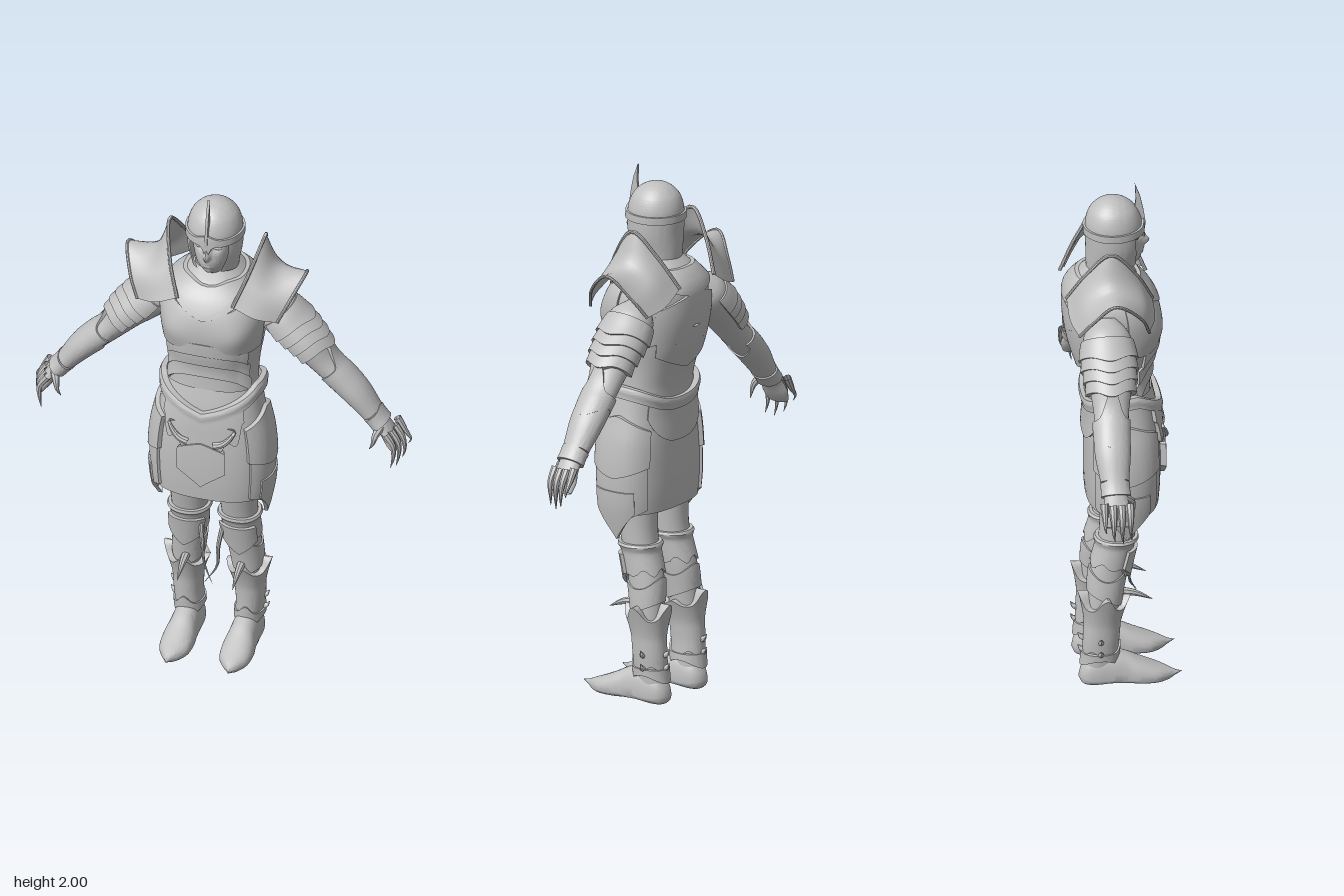
import * as THREE from 'three';
import { toCreasedNormals } from 'three/addons/utils/BufferGeometryUtils.js';

const V = (x, y, z) => new THREE.Vector3(x, y, z);
const bump = (x, w) => Math.exp(-((x / w) ** 2));
const val = (f, ...a) => (typeof f === 'function' ? f(...a) : f);
const PI = Math.PI;

// Body of oval sections [y, centreX, centreZ, halfWidth, frontDepth, backDepth]; angle 0 is front, PI/2 is +x
function body(sections, power = 0.9) {
  const s = [...sections].sort((p, q) => p[0] - q[0]);
  const slope = (i, k) => {
    const a = s[Math.max(i - 1, 0)], b = s[Math.min(i + 1, s.length - 1)];
    return (b[k] - a[k]) / (b[0] - a[0]);
  };
  return (a, y, off = 0) => {
    let i = 0;
    while (i < s.length - 2 && y > s[i + 1][0]) i++;
    const h = s[i + 1][0] - s[i][0], t = Math.min(1, Math.max(0, (y - s[i][0]) / h)), t2 = t * t, t3 = t2 * t;
    const [cx, cz, rx, rf, rb] = [1, 2, 3, 4, 5].map(k => (2 * t3 - 3 * t2 + 1) * s[i][k] + (t3 - 2 * t2 + t) * h * slope(i, k)
      + (3 * t2 - 2 * t3) * s[i + 1][k] + (t3 - t2) * h * slope(i + 1, k));
    const sn = Math.sin(a), cs = Math.cos(a);
    const e = v => Math.sign(v) * Math.abs(v) ** power;
    return V(cx + (Math.max(rx, 0) + off) * e(sn), y, cz + (Math.max(cs > 0 ? rf : rb, 0) + off) * e(cs));
  };
}

function grid(nu, nv, at) {
  const pos = [], idx = [];
  for (let j = 0; j <= nv; j++) for (let i = 0; i <= nu; i++) pos.push(...at(i, j).toArray());
  for (let j = 0; j < nv; j++) for (let i = 0; i < nu; i++) {
    const a = j * (nu + 1) + i, b = a + 1, c = a + nu + 1, d = c + 1;
    idx.push(a, b, d, a, d, c);
  }
  const g = new THREE.BufferGeometry();
  g.setAttribute('position', new THREE.Float32BufferAttribute(pos, 3));
  g.setIndex(idx);
  return g;
}

// Plate lying on a body between two heights, with rims turned in to the body
function shell(P, bottom, top, { a0 = -PI, a1 = PI, off = 0, na = 48, nv = 12 } = {}) {
  return grid(na + 2, nv + 2, (i, j) => {
    const u = Math.min(Math.max(i - 1, 0), na) / na, t = Math.min(Math.max(j - 1, 0), nv) / nv;
    const a = a0 + (a1 - a0) * u, lo = val(bottom, a), hi = val(top, a), y = lo + (hi - lo) * t;
    const rim = j === 0 || j === nv + 2 || ((i === 0 || i === na + 2) && a1 - a0 < 6.2);
    const o = val(off, a, y);
    return P(a, y, rim ? Math.min(o, 0) : o);
  });
}

// Smooth sheet through rows of points
function patch(rows, nu = 24, nv = 12) {
  const curves = rows.map(r => new THREE.CatmullRomCurve3(r.map(p => V(...p))));
  return grid(nu, nv, (i, j) => new THREE.CatmullRomCurve3(curves.map(c => c.getPoint(i / nu))).getPoint(j / nv));
}

// Tapered tube
function spike(points, r, end = 0.05, n = 12) {
  const curve = new THREE.CatmullRomCurve3(points.map(p => V(...p)));
  const g = new THREE.TubeGeometry(curve, n, r, 8), p = g.attributes.position;
  for (let i = 0; i < p.count; i++) {
    const t = Math.floor(i / 9) / n, c = curve.getPointAt(t);
    const v = V(0, 0, 0).fromBufferAttribute(p, i).sub(c).multiplyScalar(1 - (1 - end) * t ** 1.6).add(c);
    p.setXYZ(i, v.x, v.y, v.z);
  }
  return g;
}

export function createModel() {
  const model = new THREE.Group();
  const steel = new THREE.MeshStandardMaterial({ color: 0xc0c0c0, side: THREE.DoubleSide });
  steel.name = 'plain steel';

  const add = (name, geo, mirrored = false) => {
    const g = geo.index ? geo.toNonIndexed() : geo.clone();
    if (mirrored) {
      const p = g.attributes.position;
      for (let i = 0; i < p.count; i += 3) {
        const [a, b, c] = [0, 1, 2].map(k => V(0, 0, 0).fromBufferAttribute(p, i + k));
        [a, c, b].forEach((v, k) => p.setXYZ(i + k, -v.x, v.y, v.z));
      }
    }
    const mesh = new THREE.Mesh(toCreasedNormals(g, 0.75), steel);
    mesh.name = name;
    model.add(mesh);
  };
  const pair = (name, geo) => { add(name + 'Left', geo); add(name + 'Right', geo, true); };

  // Torso
  const torso = body([[1.12, 0, -0.01, 0.17, 0.12, 0.12], [1.2, 0, -0.02, 0.162, 0.125, 0.115], [1.28, 0, -0.03, 0.165, 0.135, 0.125],
    [1.36, 0, -0.03, 0.178, 0.155, 0.15], [1.45, 0, -0.03, 0.19, 0.168, 0.168], [1.52, 0, -0.03, 0.192, 0.16, 0.172],
    [1.58, 0, -0.035, 0.175, 0.135, 0.162], [1.63, 0, -0.04, 0.125, 0.1, 0.13], [1.68, 0, -0.04, 0.075, 0.07, 0.08]], 0.85);
  add('torso', shell(torso, 1.12, 1.68, { nv: 30 }));
  add('breastplate', shell(torso, a => 1.405 - 0.035 * Math.sin(Math.min(Math.abs(a), 1.2) * 1.6), a => 1.53 + 0.06 * Math.min(1, Math.abs(a)),
    { a0: -1.4, a1: 1.4, off: (a, y) => 0.008 + 0.012 * bump(Math.abs(a) - 0.55, 0.35) * bump(y - 1.45, 0.06) }));
  add('gorget', shell(torso, a => 1.52 + 0.075 * Math.min(1, Math.abs(a) / 0.8) - 0.04 * bump(Math.abs(a) - PI, 0.6),
    a => 1.65 - 0.02 * bump(a, 0.4), { off: 0.014 }));
  [[1.365, 0.95], [1.315, 1.05], [1.26, 1.15]].forEach(([y, w], k) =>
    add('bellyPlate' + (k + 1), shell(torso, a => y - 0.06 * a * a, a => y + 0.055 - 0.06 * a * a,
      { a0: -w, a1: w, off: (a, v) => 0.004 + 0.008 * Math.abs(Math.cos(a * 2.2)) + (y + 0.055 - 0.06 * a * a - v) * 0.08, nv: 6, na: 30 })));
  [[1.44, 1.57, 1.2], [1.35, 1.43, 1.0], [1.27, 1.35, 0.9]].forEach(([lo, hi, w], k) => {
    const vee = a => (k ? 0.07 : -0.06) * Math.abs(a - PI);
    add('backPlate' + (k + 1), shell(torso, a => lo + vee(a), a => hi + vee(a), { a0: PI - w, a1: PI + w, off: 0.012, na: 30, nv: 6 }));
  });

  // Head with modelled face
  const head = body([[1.6, 0, -0.04, 0.07, 0.07, 0.08], [1.66, 0, -0.04, 0.058, 0.07, 0.07], [1.69, 0, -0.035, 0.052, 0.095, 0.08],
    [1.72, 0, -0.03, 0.066, 0.107, 0.085], [1.78, 0, -0.03, 0.08, 0.108, 0.09], [1.84, 0, -0.03, 0.085, 0.1, 0.09]], 1);
  add('face', shell(head, 1.6, 1.84, { na: 110, nv: 50, off: (a, y) =>
    0.024 * bump(a, 0.13) * bump(y - 1.765, 0.018) + 0.012 * bump(a, 0.11) * bump(y - 1.795, 0.025)
    - 0.014 * bump(Math.abs(a) - 0.38, 0.2) * bump(y - 1.797, 0.014) + 0.006 * bump(y - 1.823, 0.012) * bump(a, 0.8)
    + 0.007 * bump(a, 0.25) * (bump(y - 1.736, 0.006) + bump(y - 1.722, 0.006)) + 0.008 * bump(a, 0.25) * bump(y - 1.693, 0.014) }));
  const eye = new THREE.SphereGeometry(0.013, 12, 8).scale(1.2, 0.6, 0.7);
  pair('eye', eye.translate(0.034, 1.797, 0.055));

  // Helmet: dome, brow band, side guard and crest
  const helm = body([[1.64, 0, -0.04, 0.078, 0.09, 0.082], [1.7, 0, -0.035, 0.086, 0.1, 0.09], [1.76, 0, -0.03, 0.098, 0.108, 0.096],
    [1.82, 0, -0.03, 0.101, 0.11, 0.099], [1.86, 0, -0.03, 0.099, 0.106, 0.098], [1.9, 0, -0.03, 0.085, 0.09, 0.085],
    [1.925, 0, -0.03, 0.064, 0.068, 0.064], [1.94, 0, -0.03, 0.042, 0.044, 0.042], [1.948, 0, -0.03, 0.02, 0.02, 0.02], [1.951, 0, -0.03, 0, 0, 0]], 1);
  add('helmetDome', shell(helm, 1.82, 1.951, { nv: 40 }));
  add('browBand', shell(helm, a => 1.815 - 0.045 * bump(a, 0.13), a => 1.843 + 0.015 * bump(a, 0.3), { off: 0.008, na: 80, nv: 6 }));
  add('sideGuard', grid(50, 14, (i, j) => {
    const t = j / 14, open = 0.52 + 0.28 * Math.sin(t * PI * 0.6), a = open + (2 * PI - 2 * open) * (i / 50);
    const lo = 1.665 + 0.03 * Math.max(0, Math.cos(a));
    return helm(a, lo + (1.825 - lo) * t, 0.002);
  }));
  const blade = new THREE.Shape([[0.085, 1.79], [0.092, 1.84], [0.085, 1.89], [0.072, 1.95], [0.053, 2.0], [0.056, 1.94], [0.05, 1.89], [0.065, 1.84]]
    .map(p => new THREE.Vector2(...p)));
  add('crest', new THREE.ExtrudeGeometry(blade, { depth: 0.01, bevelEnabled: false }).rotateY(-PI / 2).translate(0.005, 0, 0));

  // Winged shoulder guards
  const inner = [[0.105, 1.58, 0.105], [0.15, 1.7, 0.045], [0.182, 1.81, -0.055], [0.15, 1.72, -0.14], [0.105, 1.6, -0.21]];
  const middle = [[0.19, 1.545, 0.105], [0.215, 1.64, 0.055], [0.235, 1.69, -0.055], [0.215, 1.64, -0.15], [0.19, 1.55, -0.205]];
  const outer = [[0.265, 1.525, 0.075], [0.3, 1.6, 0.045], [0.34, 1.68, -0.055], [0.3, 1.6, -0.13], [0.265, 1.525, -0.18]];
  pair('shoulderGuard', patch([inner, middle, outer]));
  pair('shoulderRimInner', spike(inner, 0.007, 1, 30));
  pair('shoulderRimOuter', spike(outer, 0.006, 1, 30));

  // Arms: built hanging from the shoulder, then swung outward
  const swing = new THREE.Matrix4().makeRotationZ(0.71).setPosition(0.22, 1.5, -0.075);
  const arm = body([[0.06, -0.01, 0, 0.03, 0.04, 0.04], [0, -0.01, 0, 0.075, 0.085, 0.085], [-0.08, -0.008, 0, 0.075, 0.09, 0.09],
    [-0.18, 0, 0, 0.064, 0.08, 0.08], [-0.28, -0.004, -0.005, 0.05, 0.065, 0.065], [-0.36, 0.004, -0.01, 0.05, 0.062, 0.062],
    [-0.45, 0.01, -0.012, 0.045, 0.058, 0.06], [-0.55, 0.006, -0.012, 0.033, 0.045, 0.047], [-0.62, 0.004, -0.012, 0.026, 0.043, 0.045],
    [-0.67, -0.004, -0.012, 0.023, 0.055, 0.055], [-0.71, -0.016, -0.012, 0.012, 0.045, 0.045]], 1);
  const armPart = (name, ...args) => pair(name, shell(arm, ...args).applyMatrix4(swing));
  armPart('arm', -0.71, 0.06, { nv: 40, na: 32 });
  for (let k = 0; k < 4; k++) armPart('armLame' + (k + 1), a => -0.09 - k * 0.043 - 0.025 * bump(a - PI / 2, 0.5), -0.02 - k * 0.043,
    { a0: -0.35, a1: PI + 0.35, off: (a, y) => 0.006 + 0.2 * (-0.02 - k * 0.043 - y), na: 30, nv: 5 });
  armPart('elbowGuard', a => -0.4 + 0.03 * Math.cos(a * 2), a => -0.32 + 0.1 * bump(a - PI / 2, 0.45),
    { a0: -0.6, a1: PI + 0.6, off: (a, y) => 0.007 + 0.12 * Math.max(0, y + 0.32), na: 36 });
  armPart('vambrace', -0.545, a => -0.36 + 0.03 * Math.cos(a * 2), { off: 0.006 });
  armPart('wristCuff', -0.6, a => -0.55 + 0.012 * bump(a - PI / 2, 0.6), { off: (a, y) => 0.009 - 0.1 * Math.min(0, y + 0.57), nv: 5 });

  // Clawed fingers and thumb
  [[0.652, 1.0, -0.04, 0.662, 0.89], [0.662, 1.0, -0.072, 0.674, 0.882], [0.67, 1.005, -0.104, 0.688, 0.9], [0.67, 1.015, -0.136, 0.702, 0.945]]
    .forEach(([x, y, z, tx, ty], k) => pair('finger' + (k + 1),
      spike([[x - 0.012, y + 0.03, z], [x + 0.018, y - 0.02, z], [tx + 0.008, (y + ty) / 2 - 0.02, z], [tx, ty, z + 0.005]], 0.015)));
  pair('thumb', spike([[0.62, 1.05, -0.06], [0.605, 1.02, -0.03], [0.598, 0.99, -0.022], [0.585, 0.965, -0.025]], 0.017));

  // Armoured skirt
  const skirt = body([[1.22, 0, -0.01, 0.17, 0.115, 0.12], [1.1, 0, 0, 0.19, 0.13, 0.125], [1, 0, 0, 0.212, 0.138, 0.13],
    [0.9, 0, 0, 0.222, 0.142, 0.132], [0.8, 0, 0, 0.22, 0.14, 0.132], [0.73, 0, 0, 0.212, 0.135, 0.128], [0.6, 0, 0, 0.185, 0.125, 0.12]], 0.8);
  add('skirt', shell(skirt, 0.73, 1.2, { nv: 24, na: 64 }));
  const side = a => Math.abs(a - PI / 2);
  pair('hipPlateUpper', shell(skirt, a => 0.87 + 0.05 * side(a), a => 1.1 - 0.06 * side(a), { a0: 0.75, a1: 2.45, off: 0.016, na: 32 }));
  pair('hipPlateLower', shell(skirt, a => 0.7 + 0.06 * side(a), 0.95, { a0: 0.8, a1: 2.4, off: 0.01, na: 32 }));
  pair('hipPoint', shell(skirt, a => 0.63 + 0.11 * Math.min(1, side(a) / 0.5) ** 0.7, 0.82, { a0: 1.07, a1: 2.07, off: 0.016, na: 32 }));
  add('tabard', shell(skirt, a => 0.8 + 0.07 * Math.min(1, Math.abs(a) / 0.3) ** 0.7, a => 0.99 - 0.1 * Math.abs(a), { a0: -0.3, a1: 0.3, off: 0.022, na: 24 }));
  const waist = a => 1.115 + 0.1 * Math.min(1, Math.abs(a) / 1.25) ** 0.9 - 0.06 * bump(Math.abs(a) - PI, 0.9);
  add('belt', shell(skirt, a => waist(a) - 0.045, waist, { off: (a, y) => 0.018 + 0.006 * bump(waist(a) - y - 0.015, 0.015), nv: 8, na: 64 }));
  add('beltPlate', shell(skirt, a => 0.955 + 0.02 * Math.cos(a * 18) + 0.12 * Math.min(1, Math.abs(a) / 0.75) ** 2, a => waist(a) - 0.02,
    { a0: -0.75, a1: 0.75, off: 0.016, na: 48 }));
  add('beltPlateBack', shell(skirt, a => 0.99 + 0.1 * Math.min(1, Math.abs(a - PI) / 0.8) ** 2, a => waist(a) - 0.02,
    { a0: PI - 0.8, a1: PI + 0.8, off: 0.012, na: 32 }));
  pair('beltScroll', spike([[0.05, 0.99, 0.155], [0.08, 1.0, 0.155], [0.11, 1.03, 0.15], [0.125, 1.06, 0.14], [0.1, 1.07, 0.15]], 0.014));

  // Legs
  const leg = body([[0.95, 0.1, 0, 0.085, 0.08, 0.08], [0.73, 0.094, -0.008, 0.073, 0.078, 0.078], [0.6, 0.095, -0.022, 0.066, 0.062, 0.07],
    [0.47, 0.102, -0.055, 0.06, 0.066, 0.07], [0.36, 0.112, -0.07, 0.055, 0.06, 0.062], [0.2, 0.118, -0.085, 0.046, 0.06, 0.058],
    [0.12, 0.114, -0.09, 0.044, 0.06, 0.056], [0.04, 0.112, -0.095, 0.045, 0.055, 0.058]], 0.95);
  const legPart = (name, ...args) => pair(name, shell(leg, ...args));
  legPart('leg', 0.04, 0.95, { nv: 36, na: 32 });
  legPart('thighCuff', a => 0.5 - 0.05 * Math.max(0, Math.cos(a)) + 0.012 * Math.cos(a * 6), 0.605, { off: (a, y) => 0.007 + 0.01 * bump(y - 0.595, 0.012) });
  legPart('kneePlate', a => 0.43 + 0.06 * Math.min(1, Math.abs(a)), 0.56, { a0: -1, a1: 1, off: 0.02, na: 24 });
  legPart('shinGuard', a => 0.36 - 0.03 * Math.cos(a), a => 0.46 + 0.02 * Math.cos(a * 2), { off: 0.006 });
  legPart('greave', a => 0.13 + 0.02 * Math.cos(a * 3), a => 0.325 + 0.055 * bump(a - PI / 2, 0.35) + 0.06 * bump(Math.abs(a) - PI, 0.4)
    + 0.04 * bump(a, 0.35) + 0.02 * bump(a + PI / 2, 0.3), { off: (a, y) => 0.008 + 0.03 * Math.max(0, (y - 0.25) / 0.13) ** 1.4, na: 72, nv: 16 });
  legPart('ankleBand', a => 0.1 - 0.015 * Math.cos(a * 2), a => 0.14 + 0.035 * bump(a, 0.4), { off: 0.014 });
  for (const [k, y] of [0.19, 0.14].entries()) {
    pair('outerBarb' + (k + 1), spike([[0.155, y, -0.09], [0.172, y + 0.005, -0.09], [0.187, y + 0.025, -0.092]], 0.013));
    pair('heelBarb' + (k + 1), spike([[0.115, y, -0.14], [0.115, y + 0.005, -0.155], [0.115, y + 0.025, -0.17]], 0.013));
  }
  pair('kneeSpike', spike([[0.105, 0.37, -0.01], [0.105, 0.36, 0.04], [0.105, 0.33, 0.105]], 0.016));
  pair('kneeTail', spike([[0.045, 0.56, 0.01], [0.03, 0.46, 0.035], [0.024, 0.37, 0.03], [-0.015, 0.31, 0.06]], 0.01));

  // Pointed boots, built upright and laid forward
  const boot = body([[-0.167, 0.112, -0.035, 0, 0, 0], [-0.155, 0.112, -0.035, 0.03, 0.025, 0.04], [-0.12, 0.112, -0.032, 0.048, 0.03, 0.085],
    [-0.04, 0.112, -0.03, 0.052, 0.022, 0.105], [0.01, 0.112, -0.03, 0.054, 0.024, 0.09], [0.06, 0.113, -0.03, 0.06, 0.028, 0.064],
    [0.12, 0.114, -0.028, 0.054, 0.027, 0.038], [0.16, 0.116, -0.026, 0.03, 0.02, 0.024], [0.185, 0.118, -0.028, 0.011, 0.01, 0.011],
    [0.212, 0.119, -0.033, 0, 0, 0]], 0.85);
  pair('boot', shell(boot, -0.167, 0.212, { nv: 40, na: 32 }).rotateX(PI / 2));
  return model;
}
